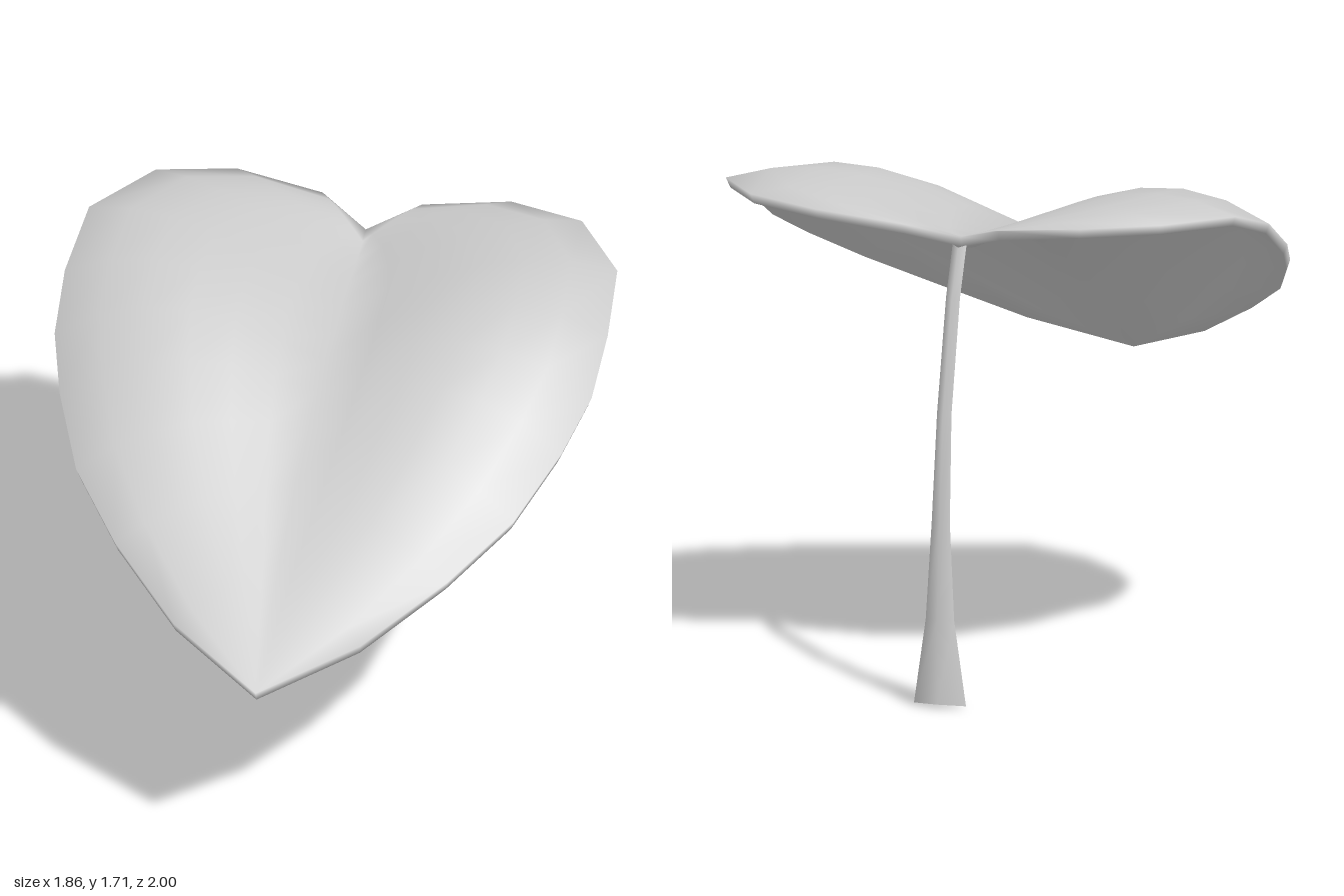
import * as THREE from 'three';
import { mergeVertices } from 'three/addons/utils/BufferGeometryUtils.js';

const material = new THREE.MeshStandardMaterial({ color: 0xcccccc });

// Rows of one half of the blade's underside, notch to tip:
// [edge x, edge y, edge z, midrib y, midrib z, bulge between them]
const ROWS = [
  [0, 1.535, -0.76, 1.535, -0.76, 0],
  [0.17, 1.59, -0.865, 1.52, -0.71, 0.01],
  [0.47, 1.625, -0.895, 1.505, -0.62, 0.045],
  [0.73, 1.64, -0.81, 1.495, -0.50, 0.075],
  [0.905, 1.63, -0.56, 1.48, -0.37, 0.10],
  [0.93, 1.55, -0.29, 1.455, -0.25, 0.135],
  [0.92, 1.435, -0.08, 1.43, -0.12, 0.15],
  [0.86, 1.335, 0.12, 1.395, 0.01, 0.135],
  [0.75, 1.21, 0.37, 1.345, 0.15, 0.10],
  [0.57, 1.085, 0.59, 1.25, 0.36, 0.05],
  [0.32, 0.94, 0.815, 1.11, 0.6, 0.02],
  [0, 0.825, 0.998, 0.825, 0.998, 0],
];
const HALF = 6; // columns from midrib to edge
const THICKNESS = 0.035;

function bladePoint(row, j, isTop) {
  const [ex, ey, ez, my, mz, bulge] = row;
  const t = Math.abs(j) / HALF;
  const inset = isTop ? 1 : 0.985; // the underside is slightly smaller
  return [
    inset * Math.sign(j) * ex * t,
    my + (ey - my) * t + bulge * 4.69 * t ** 1.25 * (1 - t) + (isTop ? THICKNESS : 0),
    inset * (mz + (ez - mz) * t),
  ];
}

// Joins equal-length rows of points into one smooth surface.
function loft(rows) {
  const n = rows[0].length;
  const index = [];
  for (let k = 0; k < rows.length - 1; k++) {
    for (let j = 0; j < n - 1; j++) {
      const a = k * n + j, b = a + 1, c = a + n, d = c + 1;
      index.push(a, c, b, b, c, d);
    }
  }
  let g = new THREE.BufferGeometry();
  g.setAttribute('position', new THREE.Float32BufferAttribute(rows.flat(2), 3));
  g.setIndex(index);
  g = mergeVertices(g, 1e-4);
  g.computeVertexNormals();
  return g;
}

function addMesh(group, name, geometry) {
  const mesh = new THREE.Mesh(geometry, material);
  mesh.name = name;
  group.add(mesh);
}

// Closed shell: each section runs across the top and back along the underside
function makeBlade() {
  const columns = Array.from({ length: 2 * HALF + 1 }, (_, i) => i - HALF);
  return loft(ROWS.map((row) => [
    ...columns.map((j) => bladePoint(row, j, true)),
    ...columns.map((j) => bladePoint(row, -j, false)),
    bladePoint(row, -HALF, true),
  ]));
}

// Curved stalk, flaring at the foot, with a groove down the front
// [y, z, half width, half depth, tilt of the section, groove radius]
const STALK = [
  [0.008, -0.956, 0.097, 0.044, 0.008, -0.2],
  [0.3, -0.957, 0.053, 0.042, 0.005, 0.4],
  [0.63, -0.955, 0.034, 0.022, 0, 0.8],
  [1.0, -0.92, 0.027, 0.021, -0.004, 0.8],
  [1.38, -0.832, 0.026, 0.022, -0.008, 0.8],
  [1.55, -0.765, 0.026, 0.023, -0.01, 0.8],
];
const STALK_ANGLES = [0, 72, 144, 180, 216, 288, 0].map(THREE.MathUtils.degToRad);

function stalkRing([y, z, w, d, tilt, groove]) {
  return STALK_ANGLES.map((a, i) => {
    const r = i === 3 ? groove : 1;
    return [r * w * Math.sin(a), y + r * tilt * Math.cos(a), z - r * d * Math.cos(a)];
  });
}

export function createModel() {
  const model = new THREE.Group();
  model.name = 'leaf';
  addMesh(model, 'leafBlade', makeBlade());

  const rings = STALK.map(stalkRing);
  addMesh(model, 'stalk', loft(rings));

  // Cap closing the foot, fanned from behind the groove
  const hub = STALK_ANGLES.map(() => [0, 0.011, -0.972]);
  addMesh(model, 'stalkFoot', loft([hub, rings[0]]));
  return model;
}
